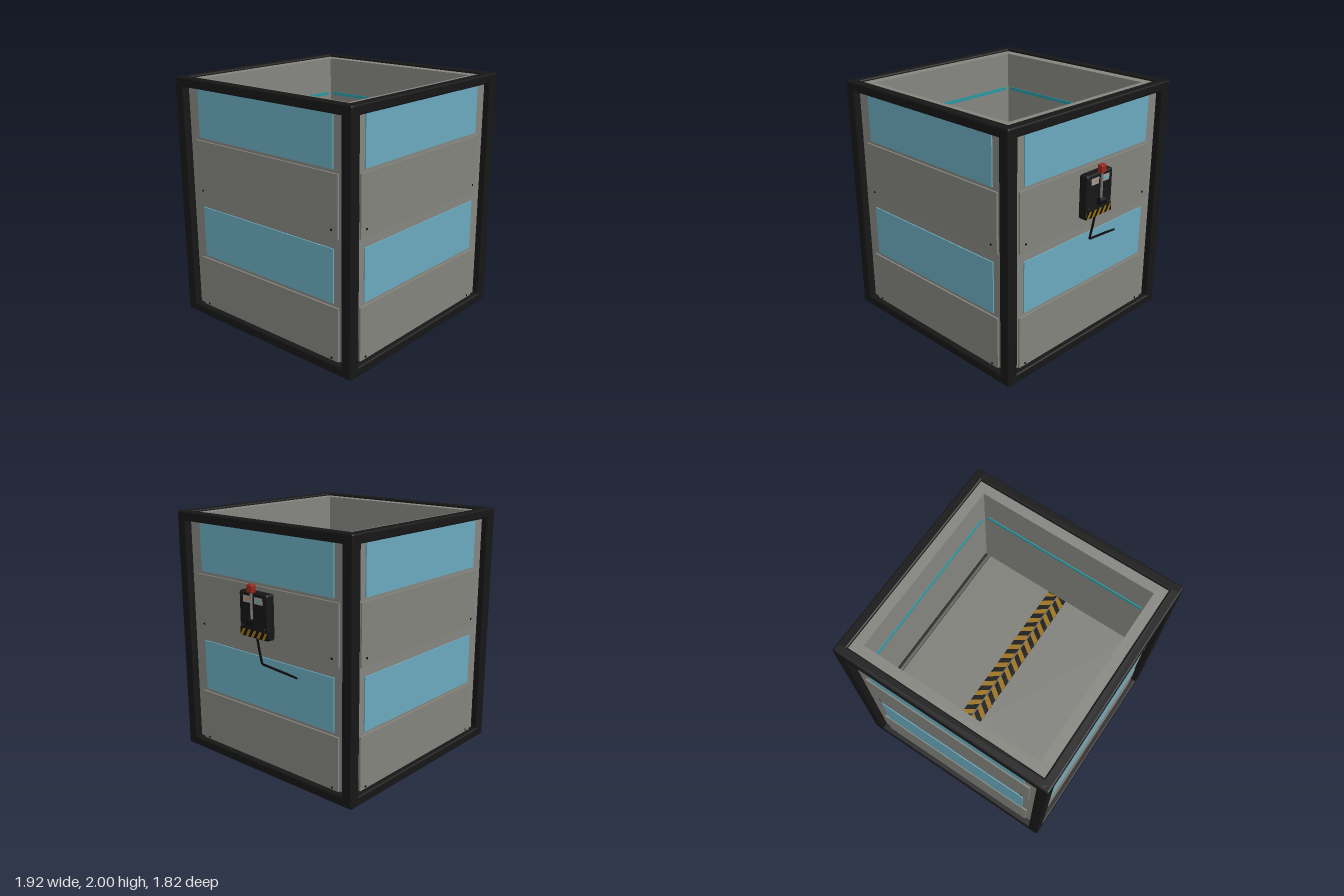
import * as THREE from 'three';
import { RoundedBoxGeometry } from 'three/addons/geometries/RoundedBoxGeometry.js';

const mat = (color, side = THREE.FrontSide) => new THREE.MeshStandardMaterial({ color, side });
const M = {
  frame: mat(0x161616), wall: mat(0x84847f), plate: mat(0x83837d), door: mat(0x7e7e79),
  glass: mat(0x6aa9bd), strip: mat(0x2a96a0), dark: mat(0x343432), black: mat(0x0c0c0c),
  yellow: mat(0x9a7012, THREE.DoubleSide), steel: mat(0x777777), red: mat(0x98241c),
  screen: mat(0x9a9a9a), orange: mat(0xc87830), cyan: mat(0x40b8c0),
};

function add(parent, name, geometry, material, x = 0, y = 0, z = 0) {
  const mesh = new THREE.Mesh(geometry, material);
  mesh.name = name;
  mesh.position.set(x, y, z);
  parent.add(mesh);
  return mesh;
}
const box = (w, h, d) => new THREE.BoxGeometry(w, h, d);
const rbox = (w, h, d, r) => new RoundedBoxGeometry(w, h, d, 2, r);
const rod = (r, length, sides) => new THREE.CylinderGeometry(r, r, length, sides);

// Slanted warning stripes filling a strip of the given length and width
function stripes(length, width, count, slant) {
  const step = length / count;
  const clamp = (u) => Math.min(length, Math.max(0, u));
  const shapes = [];
  for (let i = -1; i <= count; i++) {
    const a = i * step, b = a + step / 2;
    const p = [[a, 0], [b, 0], [b + slant, width], [a + slant, width]]
      .map(([u, v]) => new THREE.Vector2(clamp(u), v));
    if (Math.abs(THREE.ShapeUtils.area(p)) > 1e-5) shapes.push(new THREE.Shape(p));
  }
  return new THREE.ShapeGeometry(shapes);
}

// One side of the shaft, facing +z
function makeSide() {
  const side = new THREE.Group();
  side.name = 'side';
  add(side, 'wall', box(1.7, 1.96, 0.1), M.wall, 0, 1, 0.8);
  for (const y of [0, 1]) {
    add(side, 'window', box(1.4, 0.42, 0.02), M.glass, 0, y + 0.74, 0.85);
    add(side, 'plate', box(1.5, 0.475, 0.03), M.plate, 0, y + 0.267, 0.85);
    for (const x of [-0.69, 0.69]) {
      add(side, 'bolt', rod(0.009, 0.01, 12), M.black, x, y + 0.093, 0.863).rotation.x = Math.PI / 2;
    }
  }
  for (const y of [0.038, 1.962]) {
    add(side, 'frameBar', rbox(1.82, 0.076, 0.08, 0.014), M.frame, 0, y, 0.87);
  }
  // Corner post, with a wider core between the bars
  add(side, 'cornerPost', rbox(0.08, 2, 0.08, 0.014), M.frame, 0.87, 1, 0.87);
  add(side, 'cornerPostCore', rbox(0.094, 1.92, 0.094, 0.016), M.frame, 0.862, 1, 0.862);
  // Thin light strips inside the shaft
  for (const y of [0.34, 1.66]) {
    add(side, 'lightStrip', box(1.42, 0.028, 0.01), M.strip, 0, y, 0.747);
  }
  return side;
}

// One half of the sliding hatch; s is -1 or 1
function makeLeaf(s) {
  const leaf = new THREE.Group();
  leaf.name = 'hatchLeaf';
  const w = 0.69;
  add(leaf, 'hatchPanel', box(w, 0.19, 1.46), M.door, s * (0.005 + w / 2), 0.965, 0);
  add(leaf, 'hatchRail', rod(0.0285, 1.46, 20), M.dark, s * 0.7225, 1.04, 0).rotation.x = Math.PI / 2;
  add(leaf, 'hatchEdge', box(0.055, 0.17, 1.46), M.dark, s * 0.7225, 0.955, 0);
  add(leaf, 'warningStrip', box(0.08, 0.004, 1.456), M.black, s * 0.045, 1.061, 0);
  const g = stripes(1.456, 0.08, 15, s < 0 ? 0.058 : -0.058);
  g.rotateX(-Math.PI / 2).rotateY(-Math.PI / 2);
  add(leaf, 'warningStripes', g, M.yellow, s < 0 ? -0.085 : 0.005, 1.0645, -0.728);
  for (const z of [-0.66, 0.66]) {
    add(leaf, 'lowerRail', box(w, 0.016, 0.05), M.black, s * (0.005 + w / 2), 0.864, z);
  }
  return leaf;
}

// Lever control box on the +x side
function makeControl() {
  const c = new THREE.Group();
  c.name = 'controlBox';
  add(c, 'controlBody', rbox(0.08, 0.355, 0.3, 0.018), M.frame, 0.874, 1.303, 0);
  add(c, 'controlBand', box(0.036, 0.058, 0.296), M.black, 0.897, 1.162, 0);
  const g = stripes(0.294, 0.056, 5, 0.035).rotateY(Math.PI / 2);
  add(c, 'controlStripes', g, M.yellow, 0.9165, 1.134, 0.147);
  for (const s of [-1, 1]) {
    add(c, 'display', box(0.01, 0.052, 0.085), M.screen, 0.912, 1.423, s * 0.06);
    add(c, 'displayMark', box(0.004, 0.014, 0.035), s > 0 ? M.orange : M.cyan, 0.917, 1.423, s * 0.05);
    for (const y of [1.215, 1.445]) {
      add(c, 'screw', rod(0.007, 0.006, 10), M.dark, 0.914, y, s * 0.118).rotation.z = Math.PI / 2;
    }
  }
  // Lever with pivot and grip
  add(c, 'leverPivot', rod(0.026, 0.06, 16), M.black, 0.93, 1.255, 0).rotation.x = Math.PI / 2;
  add(c, 'leverRod', rod(0.01, 0.25, 12), M.steel, 0.929, 1.38, 0);
  add(c, 'leverGrip', rbox(0.046, 0.066, 0.058, 0.01), M.red, 0.927, 1.513, 0);
  // Cable hanging down and running into the wall
  const pts = [[0.882, 1.14, 0], [0.86, 1.02, 0], [0.835, 0.905, 0], [0.806, 0.862, -0.35]]
    .map((p) => new THREE.Vector3(...p));
  const path = new THREE.CurvePath();
  for (let i = 1; i < pts.length; i++) path.add(new THREE.LineCurve3(pts[i - 1], pts[i]));
  add(c, 'cable', new THREE.TubeGeometry(path, 60, 0.009, 8), M.black);
  return c;
}

export function createModel() {
  const root = new THREE.Group();
  root.name = 'shaftSection';
  const shaft = new THREE.Group();
  shaft.name = 'shaft';
  shaft.position.x = -0.05;
  for (let i = 0; i < 4; i++) {
    const side = makeSide();
    side.rotation.y = (i * Math.PI) / 2;
    shaft.add(side);
  }
  shaft.add(makeLeaf(-1), makeLeaf(1));
  root.add(shaft, makeControl());
  return root;
}
